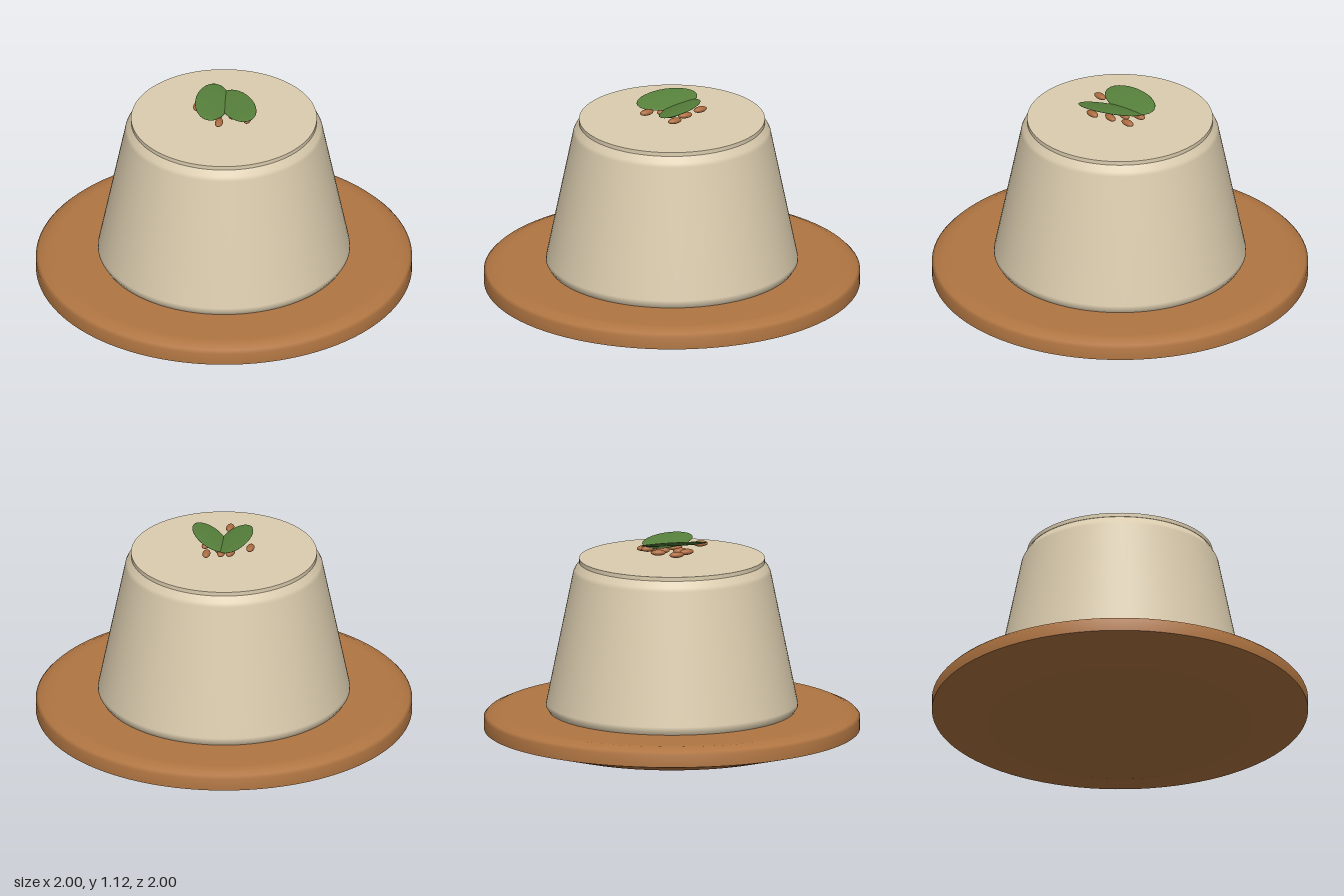
import * as THREE from 'three';

const material = (name, color) => {
  const m = new THREE.MeshStandardMaterial({ color });
  m.name = name;
  return m;
};

export function createModel() {
  const group = new THREE.Group();
  const clay = material('terracotta', 0xb07542);
  const cream = material('cream', 0xdccdaf);
  const green = material('leaf green', 0x56803b);
  const brown = material('seed brown', 0xab6b3f);

  const add = (name, geometry, mat) => {
    const mesh = new THREE.Mesh(geometry, mat);
    mesh.name = name;
    group.add(mesh);
    return mesh;
  };
  // Repeated profile points keep an edge crisp
  const lathe = (points) =>
    new THREE.LatheGeometry(points.map(([x, y]) => new THREE.Vector2(x, y)), 96);

  // Shallow plate with a bevelled rim
  add('plate', lathe([
    [0, 0], [0.7, 0], [0.7, 0], [1, 0.08], [1, 0.08], [1, 0.145],
    [0.985, 0.16], [0.94, 0.18], [0.9, 0.18], [0, 0.18],
  ]), clay);

  // Tapered pudding with softened bottom and shoulder
  add('pudding', lathe([
    [0, 0.181], [0.655, 0.181], [0.655, 0.181], [0.67, 0.205], [0.668, 0.225],
    [0.525, 0.93], [0.515, 0.95], [0.49, 0.985], [0.49, 0.985], [0, 0.985],
  ]), cream);

  // Thin disc on the top
  add('topDisc', new THREE.CylinderGeometry(0.494, 0.494, 0.022, 96), cream).position.y = 0.994;

  // Two tilted oval leaves: position, half sizes, [tilt x, yaw, tilt z]
  const oval = new THREE.SphereGeometry(1, 32, 16);
  [
    [[-0.065, 1.092, -0.005], [0.09, 0.009, 0.18], [0, 0.03, -0.27]],
    [[0.073, 1.086, -0.007], [0.085, 0.009, 0.176], [0.08, 0.58, 0.19]],
  ].forEach(([p, s, r], i) => {
    const leaf = add(`leaf${i + 1}`, oval, green);
    leaf.position.set(...p);
    leaf.scale.set(...s);
    leaf.rotation.set(...r, 'ZXY');
  });

  // Scattered seeds: x, y, z, yaw
  const seed = new THREE.SphereGeometry(1, 20, 12);
  [
    [-0.148, 1.052, -0.01, 0.05], [0.06, 1.052, -0.138, 0.1], [0.008, 1.073, 0.158, 0.05],
    [-0.085, 1.052, 0.06, 0.2], [-0.06, 1.05, -0.09, -0.15], [-0.02, 1.045, 0.04, 0.1],
    [0.012, 1.045, -0.05, -0.1], [-0.02, 1.065, -0.135, 0.1], [0.05, 1.05, 0.03, 0.15],
    [0.09, 1.05, -0.03, -0.1], [0.14, 1.052, 0.06, 0.05],
  ].forEach(([x, y, z, yaw], i) => {
    const mesh = add(`seed${i + 1}`, seed, brown);
    mesh.position.set(x, y, z);
    mesh.scale.set(0.021, 0.016, 0.04);
    mesh.rotation.y = yaw;
  });

  return group;
}
